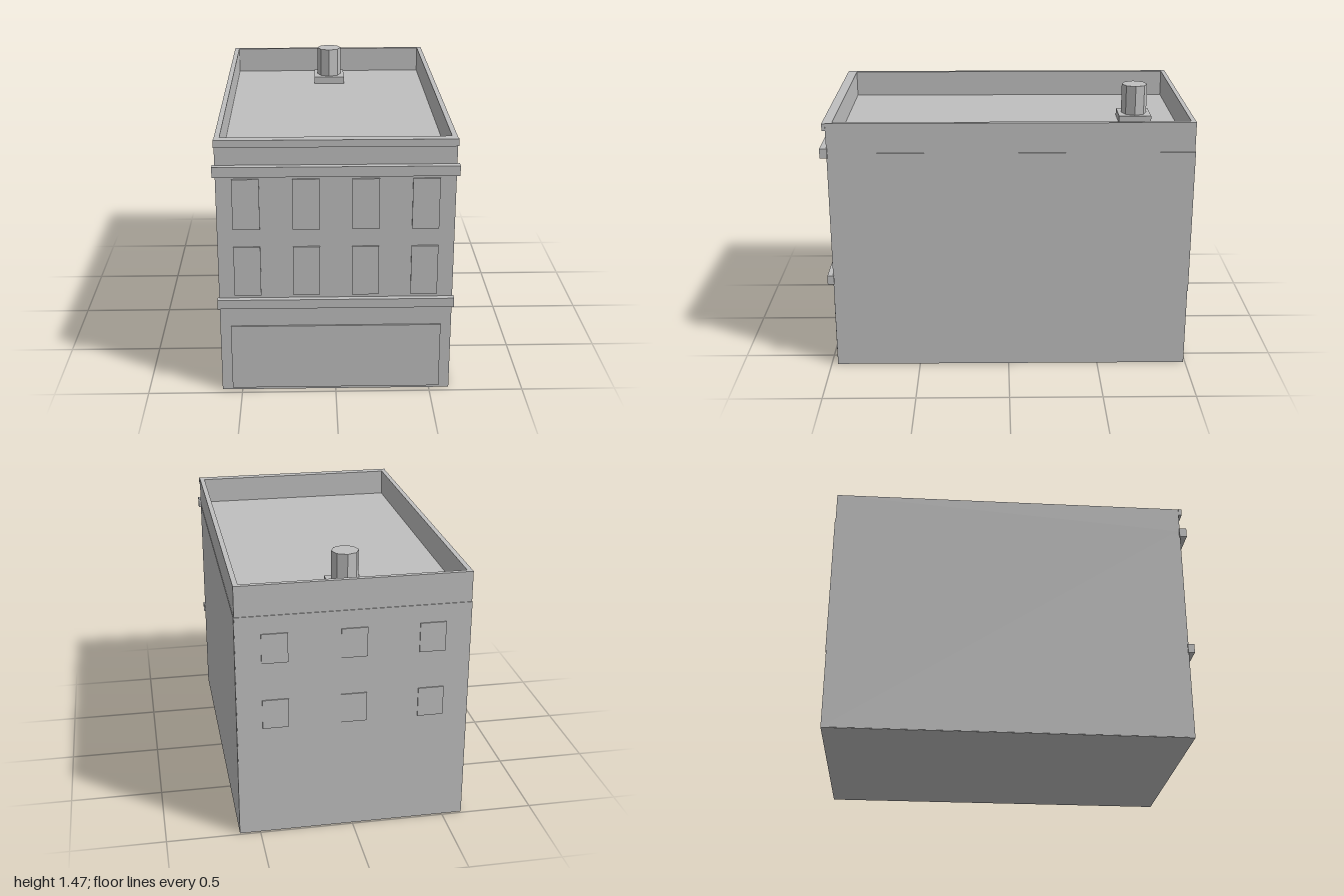
import * as THREE from 'three';

export function createModel() {
  const model = new THREE.Group();
  model.name = 'building';
  const grey = new THREE.MeshStandardMaterial({ color: 0xbfbfbf });
  grey.name = 'plain grey';

  function add(name, geometry) {
    const mesh = new THREE.Mesh(geometry, grey);
    mesh.name = name;
    model.add(mesh);
    return mesh;
  }
  // Box given by its lower and upper limits on each axis
  function box(name, x0, x1, y0, y1, z0, z1) {
    const mesh = add(name, new THREE.BoxGeometry(x1 - x0, y1 - y0, z1 - z0));
    mesh.position.set((x0 + x1) / 2, (y0 + y1) / 2, (z0 + z1) / 2);
    return mesh;
  }

  const front = 0.965, back = -0.99, roofY = 1.26, topY = 1.408;

  // Main block; its top is the sunken roof
  box('body', -0.607, 0.607, 0, roofY, back, front);

  // Parapet around the roof
  const rim = (x, z0, z1, Type) => new Type([
    new THREE.Vector2(-x, -z1), new THREE.Vector2(x, -z1),
    new THREE.Vector2(x, -z0), new THREE.Vector2(-x, -z0),
  ]);
  const ring = rim(0.607, back, front, THREE.Shape);
  ring.holes.push(rim(0.58, -0.965, 0.93, THREE.Path));
  const parapetGeometry = new THREE.ExtrudeGeometry(ring, { depth: topY - roofY, bevelEnabled: false });
  parapetGeometry.rotateX(-Math.PI / 2);
  add('parapet', parapetGeometry).position.y = roofY;

  // Thin wall facings on the sides and back
  for (const s of [-1, 1]) {
    box('sideFacing', s * 0.6085 - 0.0015, s * 0.6085 + 0.0015, 0.002, 1.245, back, 0.925);
  }
  box('backFacing', -0.607, 0.607, 0.44, 1.245, -0.994, back);

  // Front mouldings
  box('topTrim', -0.61, 0.61, 1.37, topY, front, 0.983);
  box('upperCornice', -0.62, 0.62, 1.22, 1.273, 0.96, 1.0);
  box('lowerCornice', -0.615, 0.615, 0.493, 0.543, 0.96, 0.996);

  // Front windows and shopfront
  for (const y of [0.56, 0.928]) {
    for (const x of [-0.457, -0.152, 0.152, 0.457]) {
      box('frontWindow', x - 0.069, x + 0.069, y, y + 0.271, front, 0.974);
    }
  }
  box('shopfront', -0.552, 0.552, 0.015, 0.38, front, 0.974);

  // Back windows
  for (const y of [0.622, 0.988]) {
    for (const x of [-0.408, 0, 0.408]) {
      box('backWindow', x - 0.068, x + 0.068, y, y + 0.16, -1.0, -0.994);
    }
  }

  // Roof vent on a square base
  box('ventBase', -0.092, 0.092, roofY, 1.302, -0.822, -0.638);
  const vent = add('vent', new THREE.CylinderGeometry(0.073, 0.073, 0.168, 8).toNonIndexed());
  vent.geometry.computeVertexNormals();
  vent.position.set(0, 1.386, -0.73);

  return model;
}
